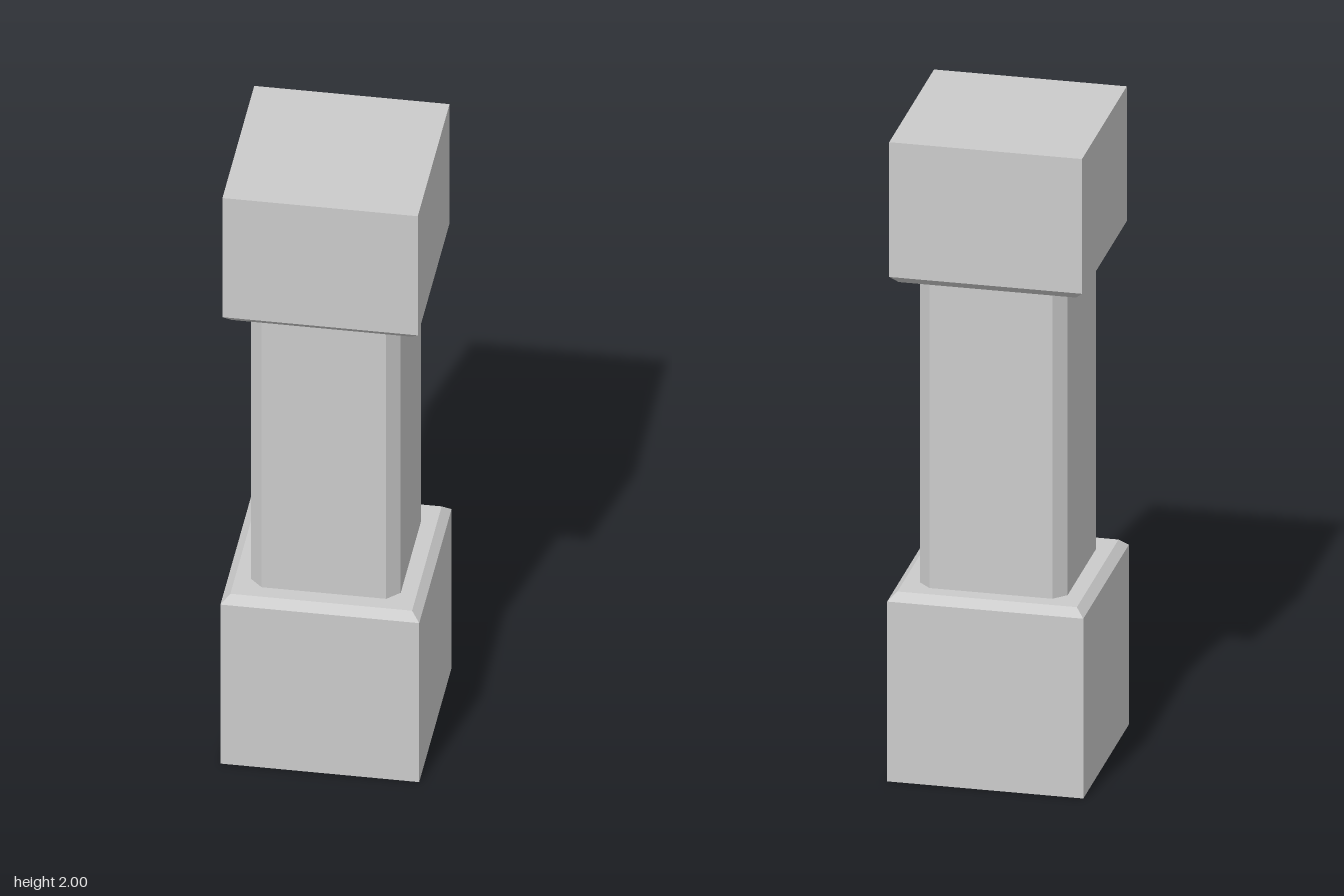
import * as THREE from 'three';

const material = new THREE.MeshStandardMaterial({ color: 0xcccccc, flatShading: true });

// Square block turned from a profile of [half width, height], bottom to top
function squareBlock(name, profile) {
  const points = profile.map(([half, y]) => new THREE.Vector2(half * Math.SQRT2, y));
  const mesh = new THREE.Mesh(new THREE.LatheGeometry(points, 4, Math.PI / 4), material);
  mesh.name = name;
  return mesh;
}

// Square shaft with chamfered vertical corners
function chamferedShaft(name, half, flat, bottom, top) {
  const outline = new THREE.Shape([
    [half, -flat], [half, flat], [flat, half], [-flat, half],
    [-half, flat], [-half, -flat], [-flat, -half], [flat, -half],
  ].map(([x, y]) => new THREE.Vector2(x, y)));
  const geometry = new THREE.ExtrudeGeometry(outline, { depth: top - bottom, bevelEnabled: false });
  geometry.rotateX(-Math.PI / 2).translate(0, bottom, 0);
  const mesh = new THREE.Mesh(geometry, material);
  mesh.name = name;
  return mesh;
}

export function createModel() {
  const pillar = new THREE.Group();
  pillar.name = 'pillar';
  pillar.add(
    // Base, chamfered around its top edge
    squareBlock('base', [[0, 0], [0.292, 0], [0.292, 0.563], [0.267, 0.587], [0, 0.587]]),
    chamferedShaft('shaft', 0.22, 0.183, 0.587, 1.555),
    // Cap, chamfered around its bottom edge
    squareBlock('cap', [[0, 1.555], [0.264, 1.555], [0.287, 1.578], [0.287, 2], [0, 2]]),
  );
  return pillar;
}
